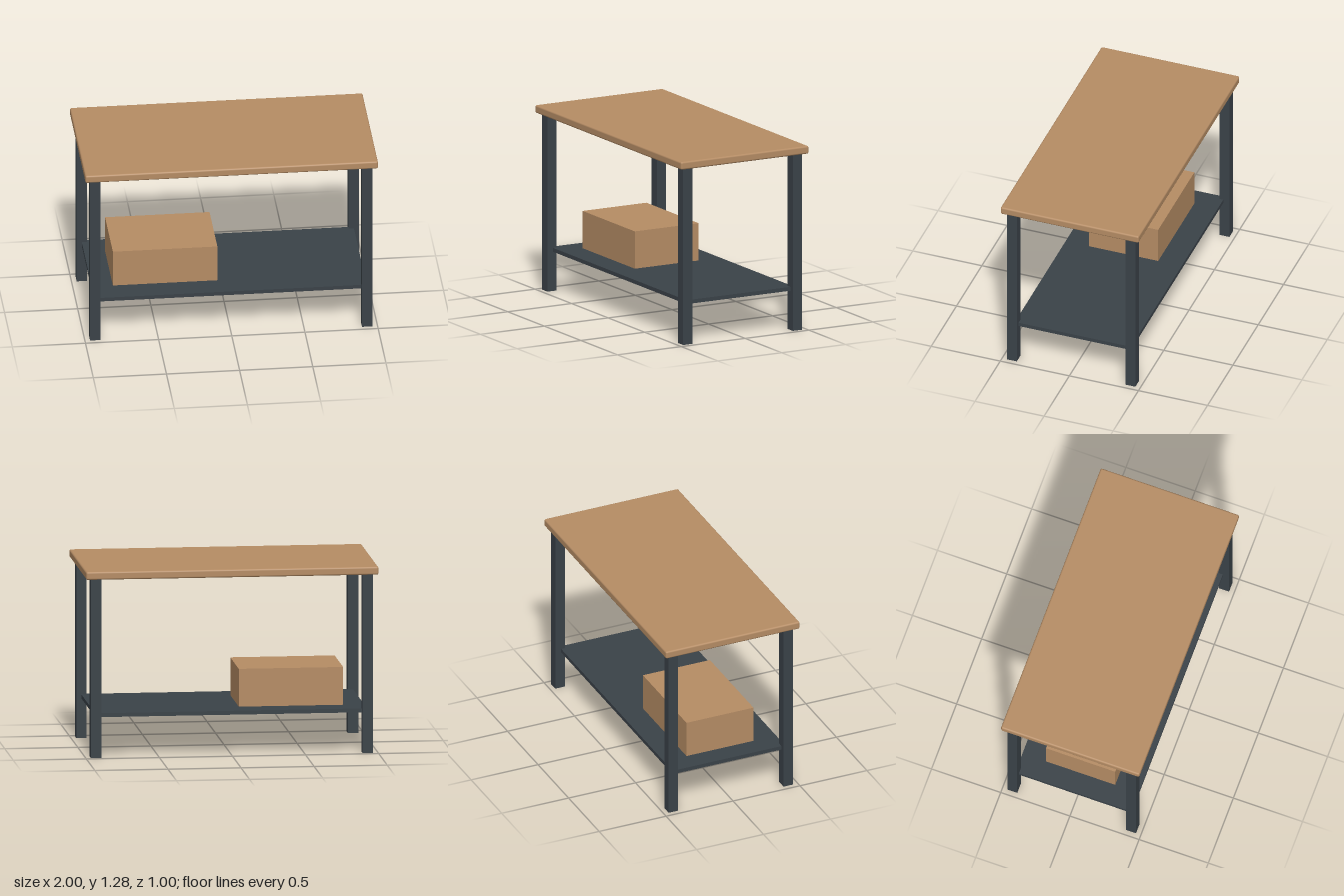
import * as THREE from 'three';
import { RoundedBoxGeometry } from 'three/addons/geometries/RoundedBoxGeometry.js';

export function createModel() {
  const model = new THREE.Group();
  model.name = 'workbench';

  const wood = new THREE.MeshStandardMaterial({ color: 0xb58c64 });
  wood.name = 'wood';
  const darkSteel = new THREE.MeshStandardMaterial({ color: 0x3a4248 });
  darkSteel.name = 'dark steel';

  const add = (name, geometry, material, x, y, z) => {
    const mesh = new THREE.Mesh(geometry, material);
    mesh.name = name;
    mesh.position.set(x, y, z);
    model.add(mesh);
  };

  // Worktop with softened edges
  const height = 1.285, topThickness = 0.055;
  add('worktop', new RoundedBoxGeometry(2, topThickness, 1, 3, 0.012), wood, 0, height - topThickness / 2, 0);

  // Four square legs
  const legHeight = height - topThickness;
  const legGeometry = new THREE.BoxGeometry(0.071, legHeight, 0.071);
  for (const [xName, x] of [['left', 0.929], ['right', -0.929]]) {
    for (const [zName, z] of [['Front', 0.429], ['Back', -0.429]]) {
      add(xName + zName + 'Leg', legGeometry, darkSteel, x, legHeight / 2, z);
    }
  }

  // Lower shelf, let into the legs
  const shelfTop = 0.3, shelfThickness = 0.027;
  add('shelf', new THREE.BoxGeometry(1.86, shelfThickness, 0.84), darkSteel, 0, shelfTop - shelfThickness / 2, 0);

  // Storage box standing on the shelf
  add('storageBox', new THREE.BoxGeometry(0.714, 0.26, 0.5), wood, -0.429, shelfTop + 0.13, 0);

  return model;
}
